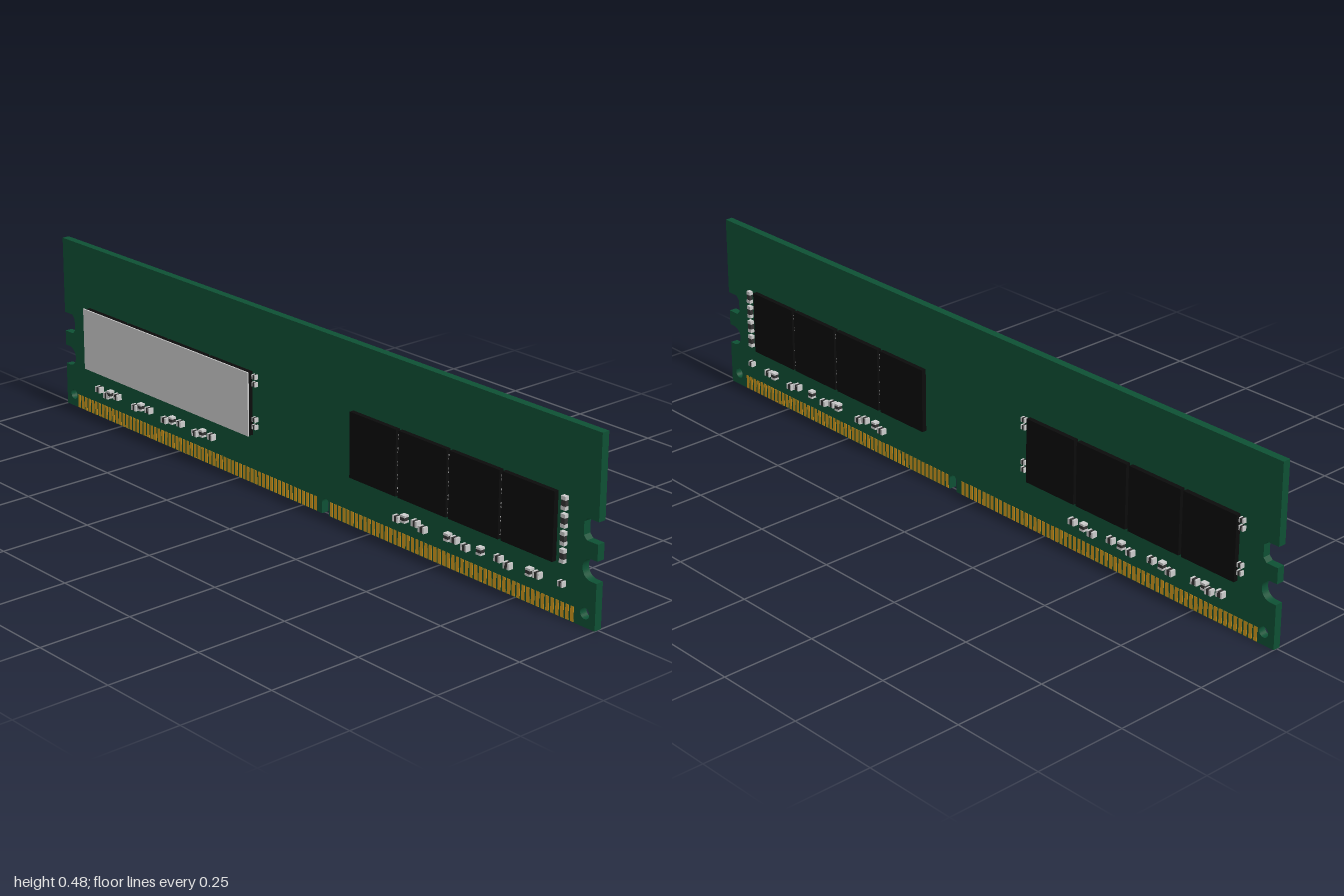
import * as THREE from 'three';

const mat = (color) => new THREE.MeshStandardMaterial({ color });
const HALF = 0.0105; // half thickness of the board

export function createModel() {
  const model = new THREE.Group();
  const green = mat(0x0e5034), black = mat(0x0b0b0b), gold = mat(0xd0961c), grey = mat(0xcccccc), dark = mat(0x333333);

  const group = (name, parent = model) => {
    const g = new THREE.Group();
    g.name = name;
    parent.add(g);
    return g;
  };
  const box = (parent, name, material, w, h, d, x, y, z) => {
    const m = new THREE.Mesh(new THREE.BoxGeometry(w, h, d), material);
    m.name = name;
    m.position.set(x, y, z);
    parent.add(m);
  };

  // Circuit board: outline with key slot, side notches and corner holes
  const s = new THREE.Shape();
  s.moveTo(-1, 0);
  s.lineTo(0.073, 0);
  s.lineTo(0.073, 0.03);
  s.absarc(0.086, 0.03, 0.013, Math.PI, 0, true);
  s.lineTo(0.099, 0);
  s.lineTo(1, 0);
  s.lineTo(1, 0.117);
  s.lineTo(0.983, 0.117);
  s.absarc(0.983, 0.144, 0.027, -Math.PI / 2, Math.PI / 2, true);
  s.lineTo(1, 0.171);
  s.lineTo(1, 0.212);
  s.lineTo(0.966, 0.212);
  s.lineTo(0.956, 0.222);
  s.lineTo(0.956, 0.255);
  s.lineTo(0.966, 0.266);
  s.lineTo(1, 0.266);
  s.lineTo(1, 0.478);
  s.lineTo(-1, 0.478);
  s.lineTo(-1, 0.266);
  s.lineTo(-0.966, 0.266);
  s.lineTo(-0.956, 0.255);
  s.lineTo(-0.956, 0.222);
  s.lineTo(-0.966, 0.212);
  s.lineTo(-1, 0.212);
  s.lineTo(-1, 0.171);
  s.lineTo(-0.983, 0.171);
  s.absarc(-0.983, 0.144, 0.027, Math.PI / 2, -Math.PI / 2, true);
  s.lineTo(-1, 0.117);
  for (const x of [-0.968, 0.968]) s.holes.push(new THREE.Path().absarc(x, 0.034, 0.014, 0, Math.PI * 2, true));
  const boardGeo = new THREE.ExtrudeGeometry(s, { depth: HALF * 2, bevelEnabled: false, curveSegments: 16 });
  boardGeo.translate(0, 0, -HALF);
  const board = new THREE.Mesh(boardGeo, green);
  board.name = 'circuitBoard';
  model.add(board);

  // Small component: dark body between two grey end caps
  const component = (parent, x, y, side, w, h, t, vertical = false) => {
    const g = group('smallComponent', parent);
    g.position.set(x, y, side * (HALF + t / 2));
    if (vertical) g.rotation.z = Math.PI / 2;
    box(g, 'body', dark, w * 0.5, h * 0.9, t * 0.92, 0, 0, 0);
    for (const e of [-1, 1]) box(g, 'endCap', grey, w * 0.28, h, t, e * w * 0.36, 0, 0);
  };

  const lowerX = [-0.84, -0.805, -0.79, -0.76, -0.68, -0.655, -0.62, -0.55, -0.52, -0.485, -0.42, -0.392, -0.355,
    0.355, 0.38, 0.42, 0.445, 0.53, 0.555, 0.59, 0.64, 0.7, 0.73, 0.8, 0.825];

  for (const side of [1, -1]) {
    const face = group(side > 0 ? 'frontFace' : 'backFace');

    // Edge contacts either side of the key slot
    const contacts = group('edgeContacts', face);
    for (const [start, count] of [[-0.944, 65], [0.108, 54]])
      for (let i = 0; i < count; i++)
        box(contacts, 'contact', gold, 0.0105, 0.038, 0.001, start + i * 0.0155, 0.02, side * (HALF + 0.0003));

    // Two banks of four memory chips
    const chips = group('memoryChips', face);
    for (const start of [-0.8, 0.27])
      for (let i = 0; i < 4; i++)
        box(chips, 'memoryChip', black, 0.165, 0.172, 0.013, start + i * 0.174, 0.219, side * (HALF + 0.0065));

    // Tiny parts in the gaps of the +x bank
    const small = group('smallComponents', face);
    for (let gap = 0; gap < 3; gap++)
      for (let j = 0; j < 5; j++)
        component(small, 0.357 + gap * 0.174, 0.15 + j * 0.034, side, 0.013, 0.006, 0.008, true);

    // Row above the contacts
    lowerX.forEach((x, i) => component(small, x, i % 3 === 1 ? 0.076 : 0.084, side, 0.02, 0.016, 0.015, i % 3 === 2));
    component(small, 0.9, 0.087, side, 0.016, 0.014, 0.013);

    // Resistor column at the +x end, and parts beside the banks
    for (let j = 0; j < 4; j++) component(small, 0.9, 0.155 + j * 0.043, side, 0.034, 0.014, 0.011, true);
    for (const y of [0.16, 0.18, 0.275, 0.295]) {
      component(small, -0.18, y, side, 0.014, 0.012, 0.011);
      if (side < 0) component(small, -0.894, y, side, 0.014, 0.012, 0.011);
    }
  }

  // Plain sticker over the front -x bank
  box(model, 'sticker', grey, 0.697, 0.172, 0.004, -0.542, 0.219, 0.0265);
  return model;
}
